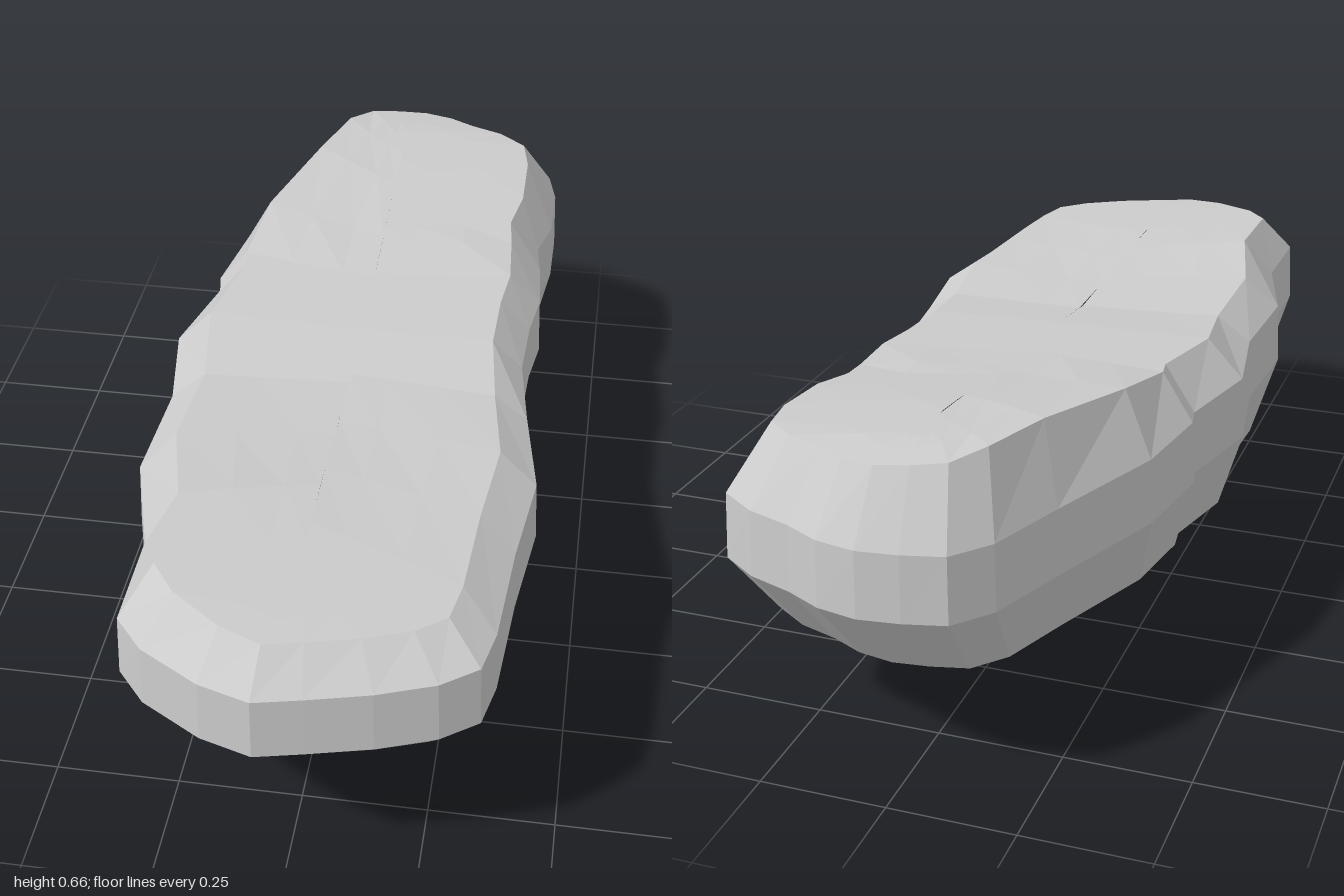
import * as THREE from 'three';

// Widest outline, [x, z], from the front round by the left side
const OUTLINE = [
  [-0.04, 1], [0.05, 0.98], [0.17, 0.95], [0.28, 0.91], [0.35, 0.86], [0.37, 0.77],
  [0.385, 0.55], [0.41, 0.34], [0.375, 0.13], [0.35, -0.05], [0.355, -0.2], [0.37, -0.31],
  [0.36, -0.45], [0.35, -0.53], [0.375, -0.63], [0.375, -0.78], [0.355, -0.87], [0.28, -0.92],
  [0.19, -0.95], [0.12, -0.985], [0.04, -1], [-0.04, -0.99], [-0.12, -0.97], [-0.18, -0.9],
  [-0.24, -0.74], [-0.34, -0.49], [-0.37, -0.3], [-0.36, -0.25], [-0.41, -0.05], [-0.375, 0.16],
  [-0.385, 0.4], [-0.32, 0.62], [-0.32, 0.83], [-0.26, 0.9], [-0.14, 0.97],
];

// Height of the top along its length, [z, y]
const TOP = [[-1, 0.63], [-0.83, 0.65], [-0.65, 0.643], [-0.45, 0.615], [-0.3, 0.595], [0, 0.58],
  [0.14, 0.56], [0.3, 0.57], [0.55, 0.585], [0.87, 0.58], [1, 0.57]];

function topHeight(x, z) {
  let i = 0;
  while (i < TOP.length - 2 && z > TOP[i + 1][0]) i++;
  const [z0, y0] = TOP[i], [z1, y1] = TOP[i + 1];
  const tilt = z < -0.4 || z > 0.4 ? 0.06 : 0.02; // ends lean down to the left
  return THREE.MathUtils.lerp(y0, y1, (z - z0) / (z1 - z0)) - tilt * x;
}

// Rings from the bottom up; y null follows the top surface
const RINGS = [
  { y: 0, sx: 0.04, sz: 0.1, dx: 0.03 },
  { y: 0.01, sx: 0.27, sz: 0.2, dx: 0.025 },
  { y: 0.045, sx: 0.5, sz: 0.375, dx: 0.02, dz: -0.045, notch: 0.05 },
  { y: 0.105, sx: 0.63, sz: 0.51, dx: 0.015, dz: -0.01, notch: 0.09 },
  { y: 0.155, sx: 0.74, sz: 0.74, dx: 0.01, dz: -0.01, notch: 0.05 },
  { y: 0.22, sx: 0.885, sz: 0.86, dz: -0.01 },
  { y: 0.38, sx: 1, sz: 1 },
  { y: 0.51, sx: 0.985, sz: 0.995 },
  { y: null, sx: 0.8, sz: 0.92 },
  { y: null, sx: 0.5, sz: 0.86 },
  { y: null, sx: 0.2, sz: 0.81 },
  { y: null, sx: 0, sz: 0.78 },
];

function bodyGeometry() {
  const n = OUTLINE.length, pos = [], index = [];
  RINGS.forEach(({ y, sx, sz, dx = 0, dz = 0, notch = 0 }, r) => {
    for (const [ox, oz] of OUTLINE) {
      let x = ox * sx + dx;
      const z = oz * sz + dz;
      // hollow on the right side behind the belly
      if (ox < 0) x = Math.min(x + notch * Math.exp(-(((z + 0.36) / 0.13) ** 2)), Math.max(x, 0));
      pos.push(x, y ?? topHeight(x, z), z);
    }
    if (r === 0) return;
    for (let j = 0; j < n; j++) {
      const k = (j + 1) % n, a = (r - 1) * n, b = r * n;
      index.push(a + j, a + k, b + k, a + j, b + k, b + j);
    }
  });
  // flat underside closing the lowest ring
  for (let j = 1; j < n - 1; j++) index.push(0, j + 1, j);
  const g = new THREE.BufferGeometry();
  g.setAttribute('position', new THREE.Float32BufferAttribute(pos, 3));
  g.setIndex(index);
  g.computeVertexNormals();
  return g;
}

export function createModel() {
  const group = new THREE.Group();
  group.name = 'rock';
  const body = new THREE.Mesh(bodyGeometry(),
    new THREE.MeshStandardMaterial({ color: 0xcccccc, flatShading: true }));
  body.name = 'rockBody';
  group.add(body);
  return group;
}
